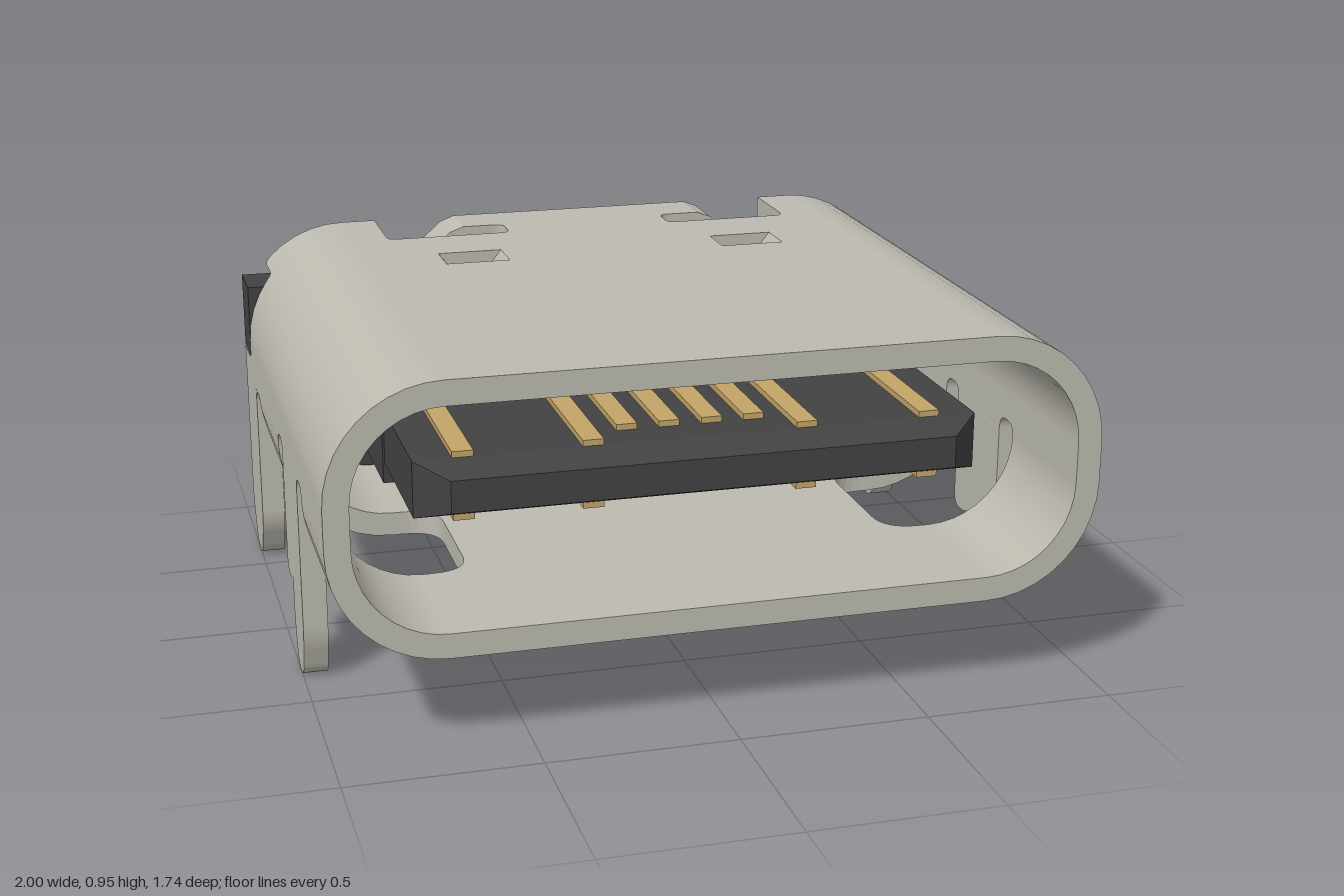
import * as THREE from 'three';

const shellMetal = new THREE.MeshStandardMaterial({ name: 'shell metal', color: 0xbdbbb0 });
const darkPlastic = new THREE.MeshStandardMaterial({ name: 'dark plastic', color: 0x424242 });
const goldContact = new THREE.MeshStandardMaterial({ name: 'gold contact', color: 0xc2a468 });

const R = 0.3, T = 0.065, TOP = 0.955, BOTTOM = 0.245;
const ARC = R * Math.PI / 2, FLAT = 1 - R, SIDE = TOP - BOTTOM - 2 * R;
const S1 = FLAT, S2 = S1 + ARC, S3 = S2 + SIDE, S4 = S3 + ARC, S5 = S4 + FLAT;

// Closed outline from [x, y, cornerRadius] points
function outline(points, Type = THREE.Shape) {
  const path = new Type();
  const n = points.length;
  points.forEach(([x, y, r = 0], i) => {
    const toward = ([a, b]) => {
      const d = Math.hypot(a - x, b - y);
      return [x + (a - x) * r / d, y + (b - y) * r / d];
    };
    const p = toward(points[(i + n - 1) % n]);
    const q = toward(points[(i + 1) % n]);
    if (i) path.lineTo(...p); else path.moveTo(...p);
    if (r) path.quadraticCurveTo(x, y, ...q);
  });
  path.closePath();
  return path;
}

const extrude = (shape, depth) =>
  new THREE.ExtrudeGeometry(shape, { depth, bevelEnabled: false, curveSegments: 8 });
const extrudeZ = (points, z0, z1) => extrude(outline(points), z1 - z0).translate(0, 0, z0);

// Position and outward direction on the shell at distance s from the top centre
function wrap(s) {
  if (s <= S1) return [s, TOP, 0, 1];
  if (s <= S2 || (s > S3 && s <= S4)) {
    const lower = s > S3;
    const a = lower ? -(s - S3) / R : (S2 - s) / R;
    const cy = lower ? BOTTOM + R : TOP - R;
    return [FLAT + R * Math.cos(a), cy + R * Math.sin(a), Math.cos(a), Math.sin(a)];
  }
  if (s <= S3) return [1, TOP - R - (s - S2), 1, 0];
  return [S5 - s, BOTTOM, 0, -1];
}

// Keep the part of a polygon on one side of s = limit
function clip(poly, limit, sign) {
  const out = [];
  poly.forEach((p, i) => {
    const q = poly[(i + 1) % poly.length];
    const a = (p[0] - limit) * sign, b = (q[0] - limit) * sign;
    if (a >= 0) out.push(p);
    if ((a > 0 && b < 0) || (a < 0 && b > 0)) out.push(p.map((v, k) => v + (q[k] - v) * a / (a - b)));
  });
  return out;
}

// Fold a flat sheet (s, -z, thickness) into half of the shell
function foldSheet(sheet, mirror) {
  const flat = sheet.index ? sheet.toNonIndexed() : sheet;
  const pos = flat.attributes.position, nor = flat.attributes.normal;
  const bands = [0, S1];
  for (let i = 1; i <= 10; i++) bands.push(S1 + ARC * i / 10);
  bands.push(S3);
  for (let i = 1; i <= 10; i++) bands.push(S3 + ARC * i / 10);
  bands.push(S5);
  const P = [], N = [];
  for (let t = 0; t < pos.count; t += 3) {
    const tri = [0, 1, 2].map(k => [pos.getX(t + k), pos.getY(t + k), pos.getZ(t + k)]);
    const [ns, nw, nd] = [nor.getX(t), nor.getY(t), nor.getZ(t)];
    for (let b = 0; b + 1 < bands.length; b++) {
      const poly = clip(clip(tri, bands[b], 1), bands[b + 1], -1);
      for (let k = 1; k + 1 < poly.length; k++) {
        const corners = mirror < 0 ? [0, k + 1, k] : [0, k, k + 1];
        for (const c of corners) {
          const [s, w, d] = poly[c];
          const [x, y, nx, ny] = wrap(s);
          P.push(mirror * (x + nx * (d - T)), y + ny * (d - T), -w);
          N.push(mirror * (ny * ns + nx * nd), -nx * ns + ny * nd, -nw);
        }
      }
    }
  }
  const g = new THREE.BufferGeometry();
  g.setAttribute('position', new THREE.Float32BufferAttribute(P, 3));
  g.setAttribute('normal', new THREE.Float32BufferAttribute(N, 3));
  return g;
}

export function createModel() {
  const model = new THREE.Group();
  const add = (name, geometry, material, x = 0, y = 0, z = 0) => {
    const mesh = new THREE.Mesh(geometry, material);
    mesh.name = name;
    mesh.position.set(x, y, z);
    model.add(mesh);
    return mesh;
  };
  const box = (name, w, h, d, material, x, y, z) => add(name, new THREE.BoxGeometry(w, h, d), material, x, y, z);

  // Shell sheet with rear notches, side opening and spring windows
  const sheet = outline([
    [0, -0.87], [S5, -0.87], [S5, 0.43], [1.29, 0.43, 0.04], [1.29, 0.52, 0.04], [1.33, 0.52],
    [1.33, 0.77], [1.226, 0.77], [1.226, 0.62, 0.03], [0.96, 0.62, 0.03], [0.96, 0.77, 0.03],
    [0.6, 0.77], [0.6, 0.52, 0.03], [0.24, 0.52, 0.03], [0.24, 0.62, 0.03], [0.36, 0.62],
    [0.36, 0.77], [0, 0.77],
  ]);
  sheet.holes.push(outline([
    [1.25, -0.47, 0.04], [1.25, -0.38, 0.04], [1.3, -0.38], [1.3, -0.09], [1.25, -0.09, 0.04],
    [1.25, 0, 0.04], [1.88, 0, 0.1], [1.88, -0.47, 0.1],
  ], THREE.Path));
  for (const s of [0.31, S5 - 0.49]) {
    sheet.holes.push(outline([[s, 0.2], [s + 0.18, 0.2], [s + 0.18, 0.32], [s, 0.32]], THREE.Path));
  }
  const sheetGeometry = extrude(sheet, T);

  // Mounting legs, drawn as (-z, y)
  const leg = points => extrude(outline(points), T).rotateY(Math.PI / 2);
  const frontLeg = leg([
    [-0.38, 0.56], [-0.38, 0.12, 0.04], [-0.34, 0, 0.04], [-0.24, 0, 0.04], [-0.2, 0.11, 0.04],
    [-0.2, 0.23, 0.015], [-0.16, 0.215, 0.015], [-0.09, 0.215, 0.04], [-0.09, 0.56],
  ]);
  const rearLeg = leg([
    [0.52, 0.56], [0.52, 0.12, 0.04], [0.58, 0, 0.04], [0.7, 0, 0.04], [0.77, 0.12, 0.04], [0.77, 0.56],
  ]);

  // Sprung tabs pressed into the shell
  const spring = [
    [-0.09, 0], [-0.11, -0.065], [-0.035, -0.135, 0.02], [0.035, -0.135, 0.02], [0.11, -0.065],
    [0.09, 0], [0.03, -0.075, 0.01], [-0.03, -0.075, 0.01],
  ];
  const springTop = extrudeZ(spring, -0.32, -0.2);
  const springBottom = springTop.clone().rotateZ(Math.PI);

  // Locating peg with a chamfered tip
  const peg = new THREE.LatheGeometry(
    [[0, 0.08], [0.038, 0.08], [0.055, 0.1], [0.055, 0.26]].map(p => new THREE.Vector2(...p)), 24);
  peg.deleteAttribute('normal');
  const pegGeometry = peg.toNonIndexed();
  pegGeometry.computeVertexNormals();

  for (const m of [1, -1]) {
    const side = m > 0 ? 'left' : 'right';
    add(side + 'Shell', foldSheet(sheetGeometry, m), shellMetal);
    const legX = m > 0 ? 1 - T : -1;
    add(side + 'FrontLeg', frontLeg, shellMetal, legX);
    add(side + 'RearLeg', rearLeg, shellMetal, legX);
    add(side + 'TopSpring', springTop, shellMetal, m * 0.4, TOP);
    add(side + 'BottomSpring', springBottom, shellMetal, m * 0.4, BOTTOM);
    const wing = [[0.36, TOP], [0.4, 0.94], [0.52, 0.835], [0.52, 0.765], [0.38, 0.885], [0.36, TOP - T]];
    add(side + 'FlapWing', extrudeZ(wing.map(([x, y]) => [m * x, y]), -0.77, -0.62), shellMetal);
    box(side + 'Ear', 0.1, 0.21, 0.155, darkPlastic, m * 0.948, 0.706, -0.7075);
    add(side + 'Peg', pegGeometry, darkPlastic, m * 0.64, 0, -0.535);
  }

  // Plastic core filling the rear of the shell
  add('coreFront', extrudeZ([
    [-0.932, 0.313, 0.28], [0.932, 0.313, 0.28], [0.932, 0.887, 0.28], [-0.932, 0.887, 0.28],
  ], -0.62, -0.4), darkPlastic);
  const rearHalf = [
    [0.8, 0.245], [0.8, 0.312], [0.932, 0.312], [0.932, 0.887, 0.26],
    [0.6, 0.887], [0.6, 0.77], [0.36, 0.77], [0.36, 0.887],
  ];
  const mirrored = rearHalf.map(([x, y, r]) => [-x, y, r]).reverse();
  add('coreRear', extrudeZ([...rearHalf, ...mirrored], -0.785, -0.62), darkPlastic);
  box('coreBase', 1.6, 0.09, 0.19, darkPlastic, 0, 0.29, -0.53);

  // Tongue with thicker root and chamfered tip
  box('tongueRoot', 1.5, 0.26, 0.62, darkPlastic, 0, 0.605, -0.1);
  box('tongue', 1.49, 0.15, 1.0, darkPlastic, 0, 0.605, 0.14);
  const tip = new THREE.BoxGeometry(1.49, 0.15, 0.08).toNonIndexed();
  const tp = tip.attributes.position;
  for (let i = 0; i < tp.count; i++) {
    if (tp.getZ(i) > 0) tp.setXY(i, tp.getX(i) * 0.89, tp.getY(i) * 0.57);
  }
  tip.computeVertexNormals();
  add('tongueTip', tip, darkPlastic, 0, 0.605, 0.68);

  // Contacts on both faces of the tongue
  for (const x of [0.617, 0.283, 0.17, 0.057]) {
    const length = x > 0.2 ? 0.46 : 0.36;
    for (const m of [1, -1]) {
      for (const y of [0.685, 0.525]) {
        box('tongueContact', 0.055, 0.022, length, goldContact, m * x, y, 0.18 + length / 2);
      }
    }
  }

  // Solder tails
  for (const x of [0.745, 0.687, 0.565, 0.51, 0.395, 0.282, 0.17, 0.057]) {
    for (const m of [1, -1]) {
      box('solderTail', 0.043, 0.028, 0.23, goldContact, m * x, 0.231, -0.755);
    }
  }
  return model;
}
